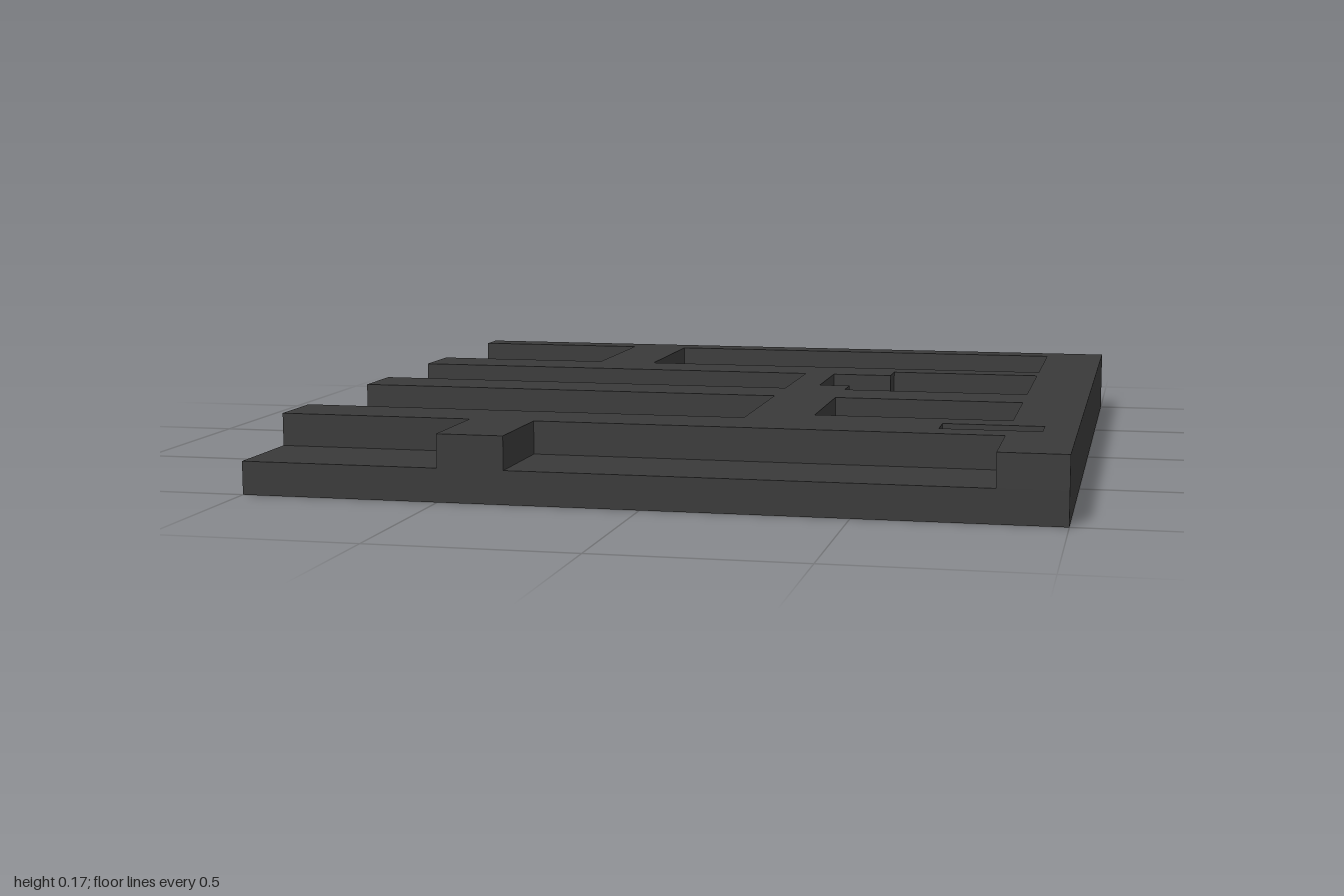
import * as THREE from 'three';

const U = 1 / 12; // layout grid step

// Points are [x, z] in grid steps; shape y is -z so the extrusion can be laid flat
const toPoints = (pts) => pts.map(([x, z]) => new THREE.Vector2(x * U, -z * U));
const rect = (x0, z0, x1, z1) => [[x0, z0], [x0, z1], [x1, z1], [x1, z0]];

export function createModel() {
  const group = new THREE.Group();
  group.name = 'recessedTile';

  const charcoal = new THREE.MeshStandardMaterial({ color: 0x393939 });
  charcoal.name = 'charcoal';

  // Lower slab, forming the floor of every recess
  const slab = new THREE.Mesh(new THREE.BoxGeometry(2, U, 2), charcoal);
  slab.name = 'baseSlab';
  slab.position.y = U / 2;
  group.add(slab);

  // Raised layer: recesses that run off the left and front edges are part of the outline
  const outline = new THREE.Shape(toPoints([
    [-12, -12], [12, -12], [12, 12], [10, 12],
    [10, 9], [-4, 9], [-4, 12], [-6, 12],
    [-6, 9], [-12, 9], [-12, 7], [2, 7],
    [2, 2], [-12, 2], [-12, 0], [2, 0],
    [2, -4], [-12, -4], [-12, -6], [-6, -6],
    [-6, -11], [-12, -11],
  ]));

  // Enclosed recesses, wound opposite to the outline so their walls face inwards
  const pockets = [
    rect(-4, -11, 10, -6),
    rect(4, 2, 10, 6),
    rect(8, 7, 11, 8),
    [[5, -5], [5, -4], [3, -4], [3, -1], [4, -1], [4, 0], [10, 0], [10, -5]],
  ];
  for (const p of pockets) outline.holes.push(new THREE.Path(toPoints(p)));

  const raised = new THREE.ExtrudeGeometry(outline, { depth: U, bevelEnabled: false });
  raised.rotateX(-Math.PI / 2);
  const ridges = new THREE.Mesh(raised, charcoal);
  ridges.name = 'raisedRidges';
  ridges.position.y = U;
  group.add(ridges);

  return group;
}
